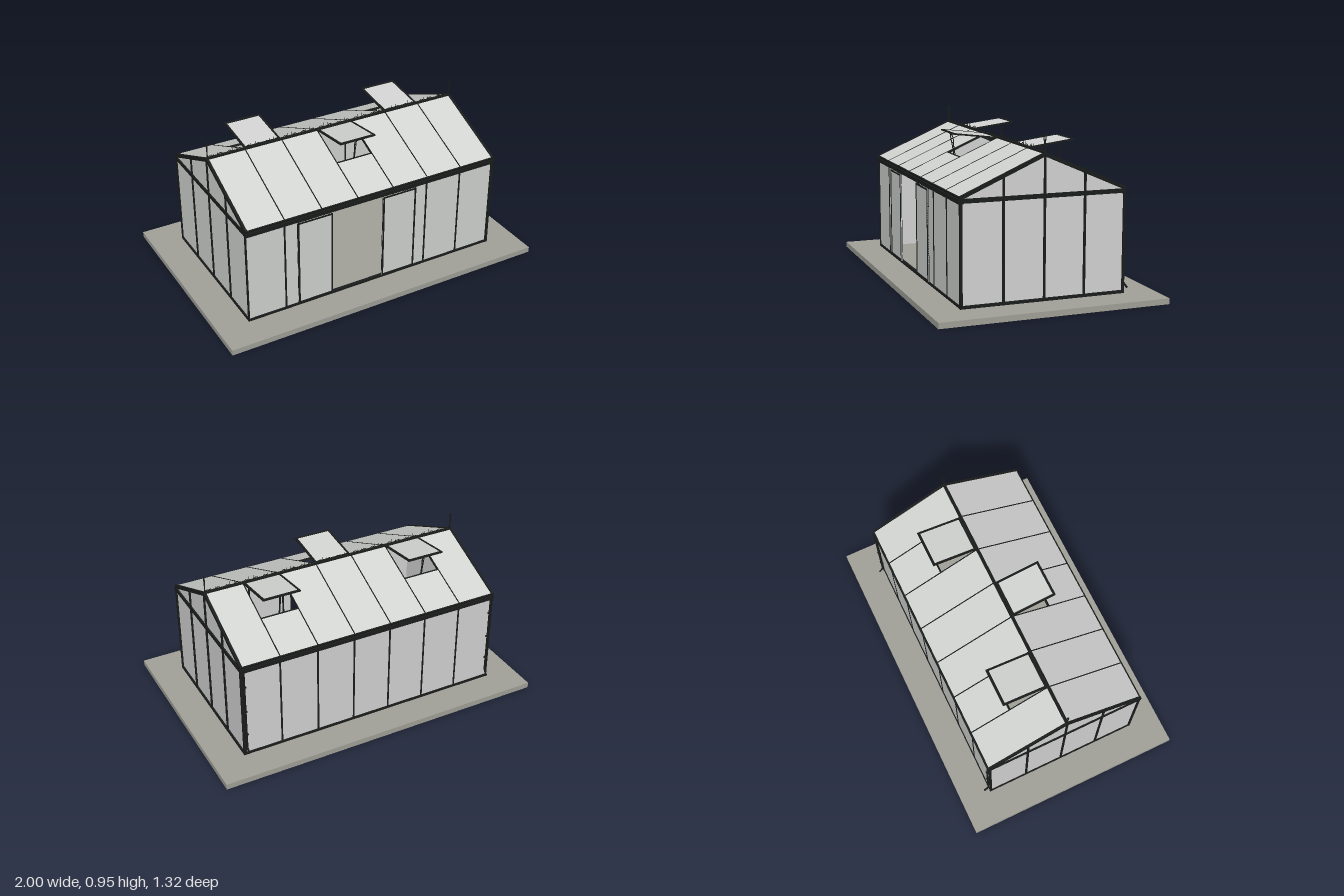
import * as THREE from 'three';

const frameMat = new THREE.MeshStandardMaterial({ name: 'blackFrame', color: 0x1b1d1c });
const glassMat = new THREE.MeshStandardMaterial({ name: 'paleGlass', color: 0xd3d5d3, side: THREE.DoubleSide });
const stoneMat = new THREE.MeshStandardMaterial({ name: 'greyStone', color: 0xa2a29a });

const HX = 0.805, HZ = 0.472, EAVE = 0.61, RIDGE = 0.835, FLOOR = 0.033;
const BAY = (HX * 2) / 7;
const SLOPE = Math.atan2(0.208, 0.478), SLOPE_LEN = Math.hypot(0.208, 0.478);
const roofY = z => RIDGE - Math.abs(z) * Math.tan(SLOPE);

// Box given by its extents along each axis
function box(parent, name, mat, x0, x1, y0, y1, z0, z1) {
  const mesh = new THREE.Mesh(new THREE.BoxGeometry(x1 - x0, y1 - y0, z1 - z0), mat);
  mesh.position.set((x0 + x1) / 2, (y0 + y1) / 2, (z0 + z1) / 2);
  mesh.name = name;
  parent.add(mesh);
  return mesh;
}

// Round bar along a smooth path
function tube(parent, name, points, radius, segments = 12) {
  const curve = new THREE.CatmullRomCurve3(points.map(p => new THREE.Vector3(...p)));
  const mesh = new THREE.Mesh(new THREE.TubeGeometry(curve, segments, radius, 6), frameMat);
  mesh.name = name;
  parent.add(mesh);
}

function group(parent, name) {
  const g = new THREE.Group();
  g.name = name;
  parent.add(g);
  return g;
}

// Long wall with posts; bays listed as open have no glass
function longWall(parent, name, openBays) {
  const g = group(parent, name);
  for (let i = 0; i < 7; i++) {
    const x = -HX + i * BAY;
    if (!openBays.includes(i)) box(g, 'wallPane', glassMat, x, x + BAY, FLOOR, EAVE, HZ - 0.006, HZ);
    if (i > 0 && !(openBays.includes(i) && openBays.includes(i - 1)))
      box(g, 'wallPost', frameMat, x - 0.005, x + 0.005, FLOOR, EAVE, HZ - 0.012, HZ + 0.003);
  }
  box(g, 'sill', frameMat, -HX, HX, FLOOR, 0.048, HZ - 0.012, HZ + 0.006);
  box(g, 'eaveBeam', frameMat, -HX - 0.004, HX + 0.004, 0.593, 0.617, HZ - 0.014, HZ + 0.012);
  return g;
}

// Gable end with a five-cornered pane
function gable(parent, side) {
  const g = group(parent, side > 0 ? 'leftGable' : 'rightGable');
  const shape = new THREE.Shape([[-HZ, FLOOR], [HZ, FLOOR], [HZ, roofY(HZ)], [0, RIDGE], [-HZ, roofY(HZ)]]
    .map(p => new THREE.Vector2(...p)));
  const pane = new THREE.Mesh(new THREE.ExtrudeGeometry(shape, { depth: 0.006, bevelEnabled: false }), glassMat);
  pane.rotation.y = -Math.PI / 2;
  pane.position.x = side * (HX - 0.003) + 0.003;
  pane.name = 'gablePane';
  g.add(pane);
  const x0 = side * HX - 0.008, x1 = side * HX + 0.005 * side + 0.004;
  const a = Math.min(x0, x1), b = Math.max(x0, x1);
  for (const z of [-0.235, 0, 0.235]) box(g, 'gablePost', frameMat, a, b, FLOOR, roofY(z), z - 0.006, z + 0.006);
  for (const z of [-HZ, HZ]) box(g, 'cornerPost', frameMat, a, b, FLOOR, EAVE, z - 0.007, z + 0.007);
  box(g, 'gableSill', frameMat, a, b, FLOOR, 0.05, -HZ, HZ);
  box(g, 'tieBeam', frameMat, a, b, 0.597, 0.621, -0.485, 0.485);
  // Flat pierced finial at the ridge end
  const outline = new THREE.Shape([[-0.005, 0], [0.005, 0], [0.004, 0.055], [0.009, 0.085], [0.007, 0.097], [0, 0.112],
    [-0.007, 0.097], [-0.009, 0.085], [-0.004, 0.055]].map(p => new THREE.Vector2(...p)));
  outline.holes.push(new THREE.Path([[0, 0.066], [-0.005, 0.085], [0, 0.098], [0.005, 0.085]]
    .map(p => new THREE.Vector2(...p))));
  const finial = new THREE.Mesh(new THREE.ExtrudeGeometry(outline, { depth: 0.004, bevelEnabled: false }), frameMat);
  finial.rotation.y = Math.PI / 2;
  finial.position.set(side * (HX - 0.002) - 0.002, RIDGE, 0);
  finial.name = 'finial';
  g.add(finial);
}

// Propped-open flap hinged at the ridge, with its stay
function vent(parent, x) {
  const g = group(parent, 'roofVent');
  g.position.set(x, RIDGE, 0);
  const flap = group(g, 'ventFlap');
  flap.rotation.x = -0.127;
  const w = BAY / 2 - 0.002, len = 0.277;
  box(flap, 'flapPane', glassMat, -w, w, -0.001, 0.003, 0, len);
  for (const s of [-1, 1]) box(flap, 'flapSide', frameMat, s * (w - 0.005) - 0.006, s * (w - 0.005) + 0.006, -0.004, 0.005, 0, len);
  for (const z of [0.012, len - 0.006]) box(flap, 'flapRail', frameMat, -w, w, -0.004, 0.005, z - 0.007, z + 0.007);
  // Pierced curved stay
  tube(g, 'stay', [[0, -0.105, 0.235], [0, -0.05, 0.244], [0, 0.005, 0.255], [0, 0.03, 0.258]], 0.003);
  tube(g, 'stay', [[0, -0.105, 0.228], [0, -0.05, 0.236], [0, 0, 0.24], [0, 0.03, 0.256]], 0.003);
  for (const t of [0.2, 0.4, 0.6, 0.8])
    box(g, 'stayPin', frameMat, -0.003, 0.003, -0.104 + t * 0.12, -0.1 + t * 0.12, 0.23 + t * 0.014, 0.24 + t * 0.014);
}

// One roof slope, built toward +z; vented bays are open near the ridge
function roofSlope(parent, name, ventBays) {
  const g = group(parent, name);
  const slope = group(g, 'roofPlane');
  slope.position.y = RIDGE;
  slope.rotation.x = SLOPE;
  const hole = 0.258;
  for (let i = 0; i < 7; i++) {
    const x = -HX + i * BAY, open = ventBays.includes(i);
    box(slope, 'roofPane', glassMat, x, x + BAY, -0.003, 0.003, open ? hole : 0, SLOPE_LEN);
    if (i > 0) box(slope, 'glazingBar', frameMat, x - 0.003, x + 0.003, -0.008, 0.005, 0, SLOPE_LEN);
    if (open) {
      box(slope, 'ventCurb', frameMat, x, x + BAY, -0.008, 0.005, hole - 0.004, hole + 0.004);
      vent(g, x + BAY / 2);
    }
  }
  for (const s of [-1, 1])
    box(slope, 'bargeRafter', frameMat, s * HX - 0.007, s * HX + 0.007, -0.014, 0.007, 0, SLOPE_LEN + 0.003);
  box(slope, 'eaveTrim', frameMat, -HX, HX, -0.006, 0.005, SLOPE_LEN - 0.005, SLOPE_LEN + 0.003);
  return g;
}

// Sliding glazed door hung outside the front wall
function slidingDoor(parent, x0, x1) {
  const g = group(parent, 'slidingDoor');
  const y0 = 0.05, y1 = 0.588, z0 = 0.476, z1 = 0.486;
  box(g, 'doorPane', glassMat, x0, x1, y0, y1, 0.479, 0.483);
  for (const x of [x0, x1 - 0.01]) box(g, 'doorStile', frameMat, x, x + 0.01, y0, y1, z0, z1);
  for (const y of [y0, y1 - 0.01]) box(g, 'doorRail', frameMat, x0, x1, y, y + 0.01, z0, z1);
}

// Downpipe at a back corner, kicked out at the foot, with brackets
function downpipe(parent, x) {
  const g = group(parent, 'downpipe');
  tube(g, 'pipe', [[x, 0.61, -0.482], [x, 0.35, -0.482], [x, 0.09, -0.482]], 0.006);
  tube(g, 'pipeFoot', [[x, 0.092, -0.48], [x, 0.075, -0.493], [x, 0.058, -0.507]], 0.006);
  for (const y of [0.18, 0.335, 0.5]) box(g, 'pipeBracket', frameMat, x - 0.009, x + 0.009, y - 0.004, y + 0.004, -0.49, -0.47);
}

// Ridge bar with paired spikes and small arches
function ridge(parent) {
  const g = group(parent, 'ridgeCresting');
  box(g, 'ridgeBar', frameMat, -HX - 0.005, HX + 0.005, RIDGE - 0.012, RIDGE + 0.009, -0.009, 0.009);
  const spike = new THREE.ConeGeometry(0.003, 0.032, 5);
  const arch = new THREE.TorusGeometry(0.014, 0.0022, 4, 8, Math.PI);
  for (let i = 0; i < 14; i++) {
    const x = -0.754 + i * 0.116;
    for (const s of [-1, 1]) {
      const tip = new THREE.Mesh(spike, frameMat);
      tip.position.set(x + s * 0.0135, RIDGE + 0.022, 0);
      tip.name = 'crestSpike';
      const curl = new THREE.Mesh(arch, frameMat);
      curl.position.set(x + s * 0.03, RIDGE + 0.006, 0);
      curl.name = 'crestArch';
      if (Math.abs(x) < HX - 0.04) g.add(tip, curl);
    }
  }
}

export function createModel() {
  const model = new THREE.Group();
  model.name = 'greenhouse';
  box(model, 'plinth', stoneMat, -1, 1, 0, FLOOR, -0.66, 0.66);

  longWall(model, 'frontWall', [2, 3]);
  longWall(model, 'backWall', []).rotation.y = Math.PI;
  for (const s of [-1, 1]) {
    gable(model, s);
    downpipe(model, s * 0.795);
  }
  slidingDoor(model, -0.5, -0.28);
  slidingDoor(model, 0.047, 0.267);

  roofSlope(model, 'frontRoof', [3]);
  roofSlope(model, 'backRoof', [1, 5]).rotation.y = Math.PI;
  ridge(model);
  return model;
}
